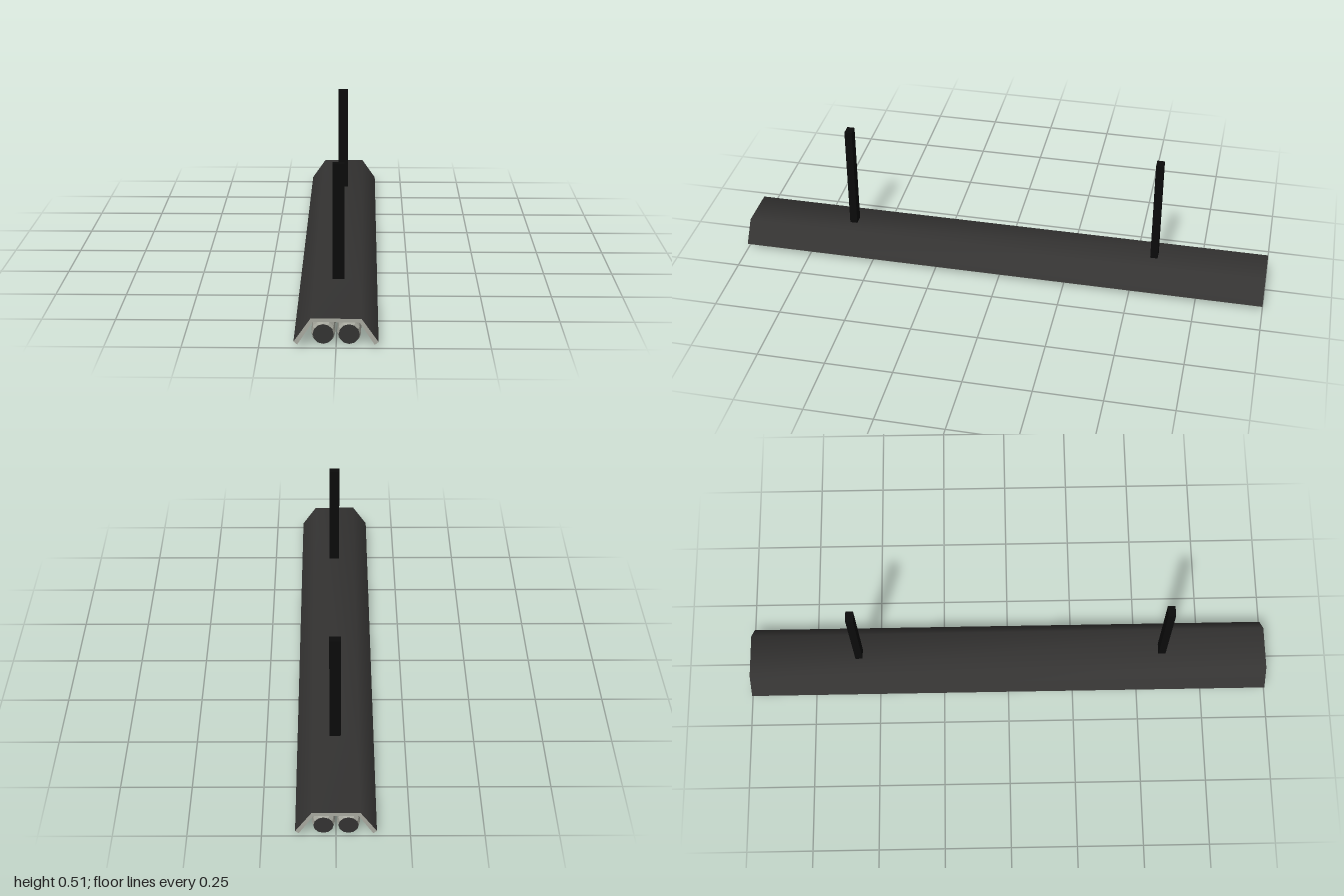
import * as THREE from 'three';

const dark = new THREE.MeshStandardMaterial({ color: 0x343332 });
const black = new THREE.MeshStandardMaterial({ color: 0x0b0b0b });
const pale = new THREE.MeshStandardMaterial({ color: 0xa9aaa0 });
const paleFlat = pale.clone();
paleFlat.flatShading = true;

// Sweeps an open profile in x, y along the full length in z
function sweep(points) {
  const positions = [], index = [];
  points.forEach(([x, y], i) => {
    positions.push(x, y, -1, x, y, 1);
    if (i) {
      const a = 2 * i - 2;
      index.push(a, a + 1, a + 3, a, a + 3, a + 2);
    }
  });
  const geometry = new THREE.BufferGeometry();
  geometry.setAttribute('position', new THREE.Float32BufferAttribute(positions, 3));
  geometry.setIndex(index);
  geometry.computeVertexNormals();
  return geometry;
}

export function createModel() {
  const model = new THREE.Group();
  model.name = 'hangingTubeLamp';
  const add = (parent, name, geometry, material, x = 0, y = 0, z = 0) => {
    const mesh = new THREE.Mesh(geometry, material);
    mesh.name = name;
    mesh.position.set(x, y, z);
    parent.add(mesh);
    return mesh;
  };

  // Folded reflector: dark outside, pale inside, lips and end rims
  const outer = [[-0.137, 0.022], [-0.082, 0.101], [0.082, 0.101], [0.137, 0.022]];
  const inner = [[0.125, 0.012], [0.075, 0.089], [-0.075, 0.089], [-0.125, 0.012]];
  const reflector = new THREE.Group();
  reflector.name = 'reflector';
  model.add(reflector);
  add(reflector, 'reflectorOutside', sweep(outer), dark);
  add(reflector, 'reflectorInside', sweep(inner), pale);
  add(reflector, 'leftLip', sweep([outer[3], inner[0]]), pale);
  add(reflector, 'rightLip', sweep([inner[3], outer[0]]), pale);
  const section = new THREE.Shape([...outer, ...inner].map(([x, y]) => new THREE.Vector2(x, y)));
  const rim = new THREE.ShapeGeometry(section);
  add(reflector, 'frontRim', rim, pale, 0, 0, 1);
  add(reflector, 'backRim', rim, pale, 0, 0, -1).rotation.y = Math.PI;

  // Two twelve-sided tubes with bevelled ends and dark caps
  const front = 0.975, back = -0.99, radius = 0.039, capRadius = 0.034;
  const profile = [[capRadius, back], [radius, back + 0.02], [radius, front - 0.02], [capRadius, front]];
  const tubeGeometry = new THREE.LatheGeometry(profile.map(([r, z]) => new THREE.Vector2(r, z)), 12);
  tubeGeometry.rotateX(Math.PI / 2);
  const capGeometry = new THREE.CircleGeometry(capRadius, 12);
  for (const [side, x] of [['left', 0.042], ['right', -0.042]]) {
    const tube = new THREE.Group();
    tube.name = side + 'Tube';
    tube.position.set(x, radius, 0);
    model.add(tube);
    add(tube, side + 'TubeBody', tubeGeometry, paleFlat);
    add(tube, side + 'TubeFrontCap', capGeometry, dark, 0, 0, front);
    add(tube, side + 'TubeBackCap', capGeometry, dark, 0, 0, back).rotation.y = Math.PI;
  }

  // Square hanging posts
  const post = new THREE.BoxGeometry(0.04, 0.41, 0.028);
  add(model, 'frontPost', post, black, 0.002, 0.305, 0.598);
  add(model, 'backPost', post, black, 0.002, 0.305, -0.578);

  return model;
}
